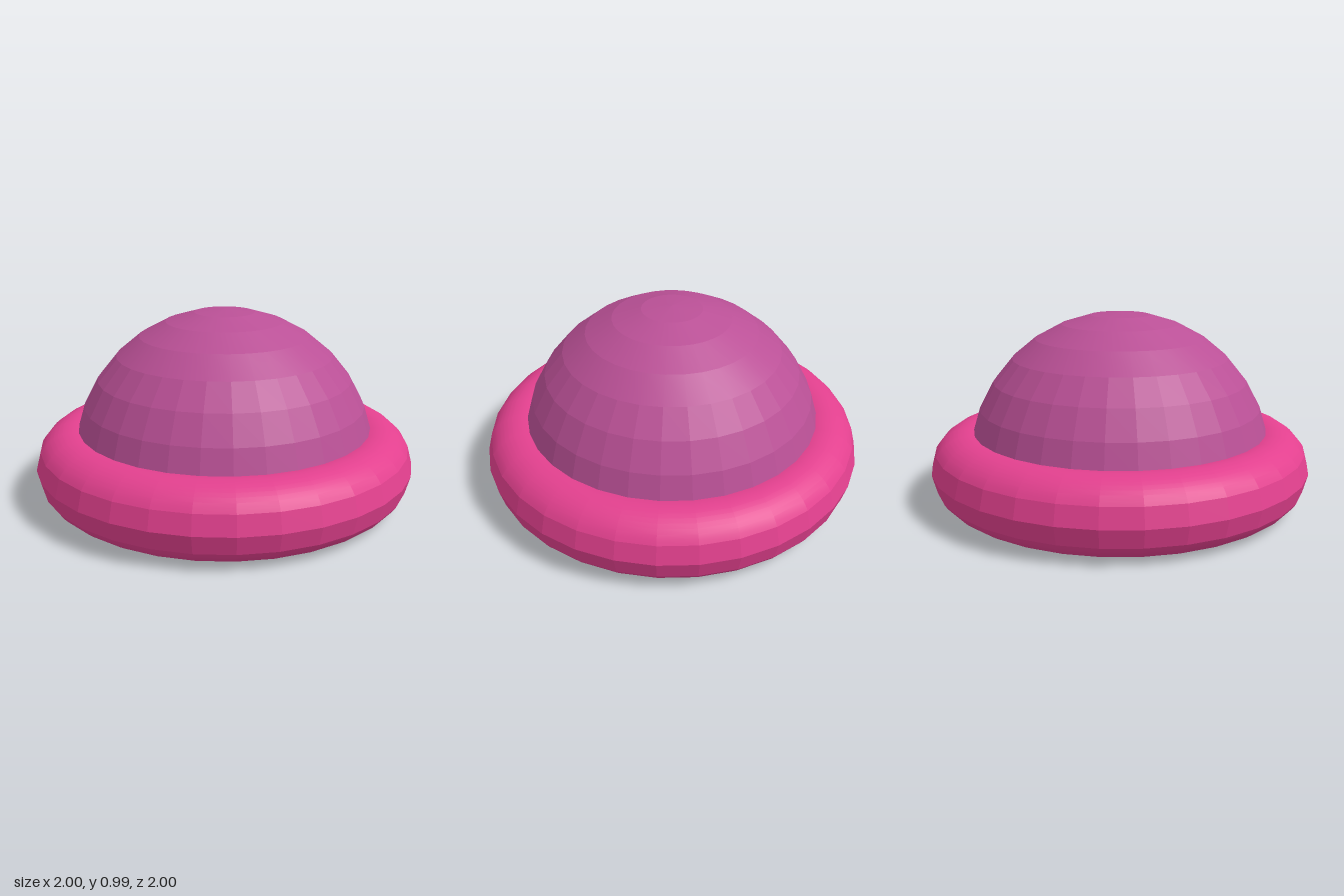
import * as THREE from 'three';
import { toCreasedNormals } from 'three/addons/utils/BufferGeometryUtils.js';

const SIDES = 32;
const MID_Y = 0.195;
const RAD = Math.PI / 180;

// Revolve a profile; only the sharper facet edges stay visible.
function revolve(name, profile, color) {
  const geometry = toCreasedNormals(new THREE.LatheGeometry(profile, SIDES), 8 * RAD);
  const mesh = new THREE.Mesh(geometry, new THREE.MeshStandardMaterial({ color }));
  mesh.name = name;
  return mesh;
}

// Point on a circle of radius r centred at (cx, MID_Y)
const arcPoint = (cx, r, deg) =>
  new THREE.Vector2(Math.max(0, cx + r * Math.cos(deg * RAD)), MID_Y + r * Math.sin(deg * RAD));

export function createModel() {
  const group = new THREE.Group();
  group.name = 'domeOnRing';

  // Round ring: two broad bands on the outside, finely rounded elsewhere
  const ring = [arcPoint(0.81, 0.19, 0)];
  for (let a = 30; a <= 330; a += 7.5) ring.push(arcPoint(0.81, 0.19, a));
  ring.push(arcPoint(0.81, 0.19, 360));
  group.add(revolve('ring', ring, 0xe2408e));

  // Half-sphere dome, closed by a flat disc underneath
  const dome = [new THREE.Vector2(0, MID_Y)];
  for (let i = 0; i <= 8; i++) dome.push(arcPoint(0, 0.8, i * 11.25));
  group.add(revolve('dome', dome, 0xba5096));

  return group;
}
